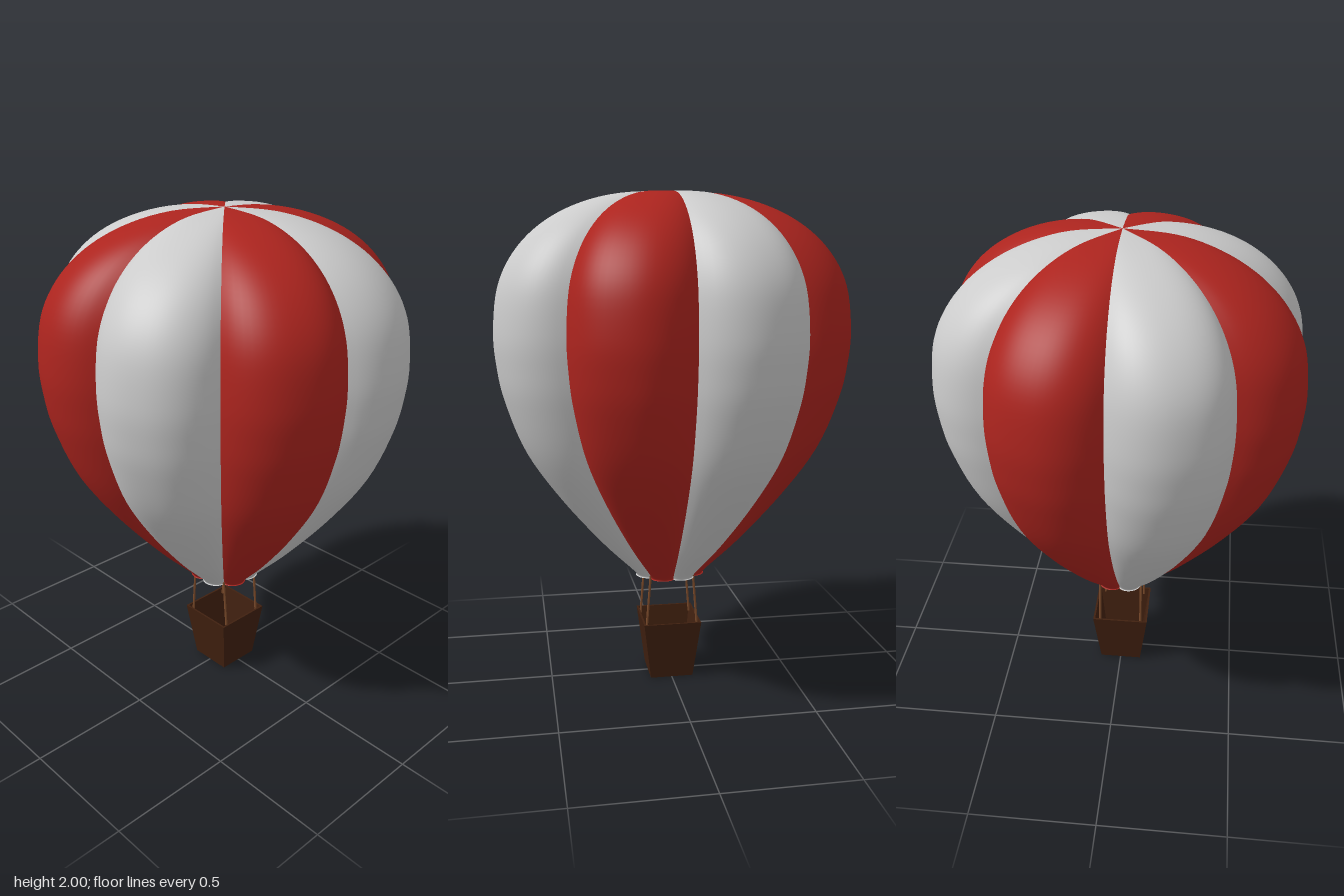
import * as THREE from 'three';

const GORES = 8;
const RED = 0xac241e, GREY = 0xcccccc, WICKER = 0x40200f, ROPE = 0x7a4a2a;

// Seam profile (radius, height): tapering skirt, then a full, flattened crown
const seam = [[0.127, 0.44], [0.134, 0.46], [0.255, 0.6], [0.402, 0.8], [0.52, 1.0], [0.588, 1.2], [0.613, 1.34]]
  .map(([r, y]) => new THREE.Vector2(r, y));
for (let a = 0; a <= 90; a += 15) {
  const t = THREE.MathUtils.degToRad(a);
  const round = v => Math.pow(Math.max(v, 0), 2 / 2.3);
  seam.push(new THREE.Vector2(0.62 * round(Math.cos(t)), 1.47 + 0.53 * round(Math.sin(t))));
}
const profile = new THREE.SplineCurve(seam);

// One bulging fabric panel between two seams
function goreGeometry() {
  const geo = new THREE.PlaneGeometry(1, 1, 20, 65);
  const pos = geo.attributes.position;
  for (let i = 0; i < pos.count; i++) {
    const across = pos.getX(i);
    const p = profile.getPoint(THREE.MathUtils.clamp(pos.getY(i) + 0.5, 0, 1));
    const angle = (0.5 - across) * Math.PI * 2 / GORES;
    const bulge = 1 - Math.pow(Math.abs(2 * across), 2.4);
    const r = Math.max(p.x, 0) * (1 + 0.172 * bulge);
    pos.setXYZ(i, r * Math.cos(angle), p.y, r * Math.sin(angle));
  }
  geo.computeVertexNormals();
  return geo;
}

// Thin cylinder between two points
function rope(from, to, radius, material) {
  const dir = to.clone().sub(from);
  const mesh = new THREE.Mesh(new THREE.CylinderGeometry(radius, radius, dir.length(), 8), material);
  mesh.position.copy(from).add(to).multiplyScalar(0.5);
  mesh.quaternion.setFromUnitVectors(new THREE.Vector3(0, 1, 0), dir.normalize());
  return mesh;
}

export function createModel() {
  const model = new THREE.Group();
  model.name = 'hotAirBalloon';

  // Envelope: alternating panels, open at the mouth
  const envelope = new THREE.Group();
  envelope.name = 'envelope';
  const fabrics = [RED, GREY].map(color =>
    new THREE.MeshStandardMaterial({ color, side: THREE.DoubleSide }));
  const gore = goreGeometry();
  for (let i = 0; i < GORES; i++) {
    const panel = new THREE.Mesh(gore, fabrics[i % 2]);
    panel.name = i % 2 ? 'greyPanel' : 'redPanel';
    panel.rotation.y = -i * Math.PI * 2 / GORES;
    envelope.add(panel);
  }
  model.add(envelope);

  // Basket: hollow, four-sided and flared towards the rim
  const d = Math.SQRT2;
  const wall = [[0, 0], [0.089, 0], [0.12, 0.245], [0.112, 0.245], [0.082, 0.01], [0, 0.01]]
    .map(([r, y]) => new THREE.Vector2(r * d, y));
  const basket = new THREE.Mesh(
    new THREE.LatheGeometry(wall, 4, Math.PI / 4),
    new THREE.MeshStandardMaterial({ color: WICKER, flatShading: true, side: THREE.DoubleSide }));
  basket.name = 'basket';
  model.add(basket);

  // Ropes from the basket corners to the mouth
  const ropes = new THREE.Group();
  ropes.name = 'ropes';
  const ropeMaterial = new THREE.MeshStandardMaterial({ color: ROPE });
  for (const sx of [-1, 1]) for (const sz of [-1, 1]) {
    const line = rope(new THREE.Vector3(sx * 0.107, 0.22, sz * 0.09),
      new THREE.Vector3(sx * 0.089, 0.45, sz * 0.09), 0.005, ropeMaterial);
    line.name = 'rope';
    ropes.add(line);
  }
  model.add(ropes);
  return model;
}
